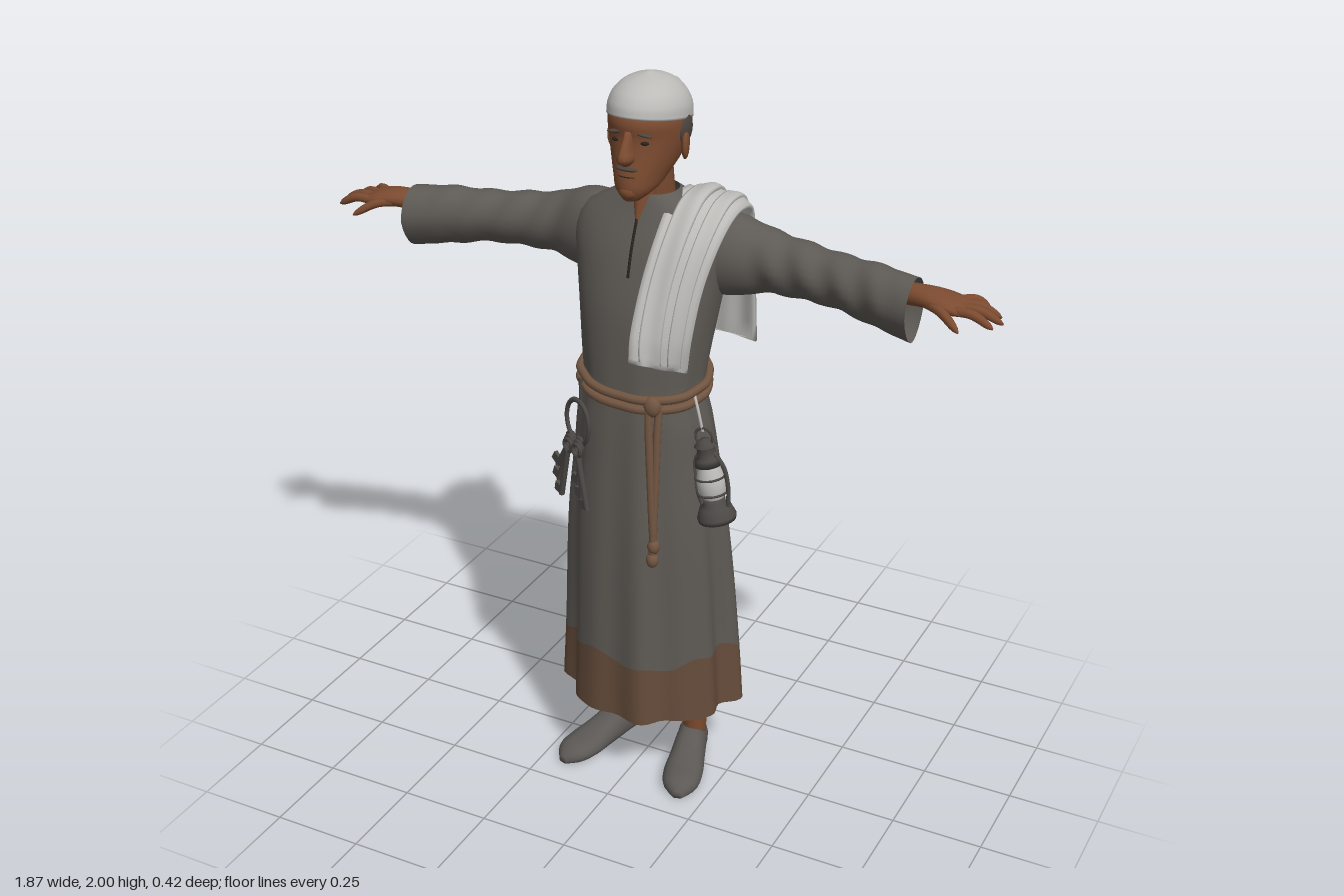
import * as THREE from 'three';

const V = (x, y, z) => new THREE.Vector3(x, y, z);
const mat = (name, color, side = THREE.FrontSide) => {
  const m = new THREE.MeshStandardMaterial({ color, side });
  m.name = name;
  return m;
};

// Smooth interpolation of a table whose first column is the key
function table(rows) {
  const f = new THREE.CubicInterpolant(rows.map(r => r[0]), rows.flatMap(r => r.slice(1)), rows[0].length - 1);
  return t => Array.from(f.evaluate(t));
}
const steps = (a, b, n) => Array.from({ length: n + 1 }, (_, i) => a + (b - a) * i / n);
const pw = (v, e) => Math.sign(v) * Math.abs(v) ** e;

// Skin over closed rings of points, optionally capped; rows below `split` use material 0
function loft(rings, cap = true, split = 0) {
  const n = rings[0].length, pts = rings.flat(), idx = [];
  rings.slice(1).forEach((_, i) => {
    for (let j = 0; j < n; j++) {
      const k = (j + 1) % n, a = i * n + j, c = i * n + k;
      idx.push(a, a + n, c + n, a, c + n, c);
    }
  });
  if (cap) {
    [0, rings.length - 1].forEach((r, e) => {
      const mid = rings[r].reduce((s, p) => s.add(p), V(0, 0, 0)).divideScalar(n);
      pts.push(mid);
      for (let j = 0; j < n; j++) {
        const a = r * n + j, b = r * n + (j + 1) % n;
        idx.push(pts.length - 1, e ? b : a, e ? a : b);
      }
    });
  }
  const g = new THREE.BufferGeometry().setFromPoints(pts);
  g.setIndex(idx);
  g.computeVertexNormals();
  if (split) {
    g.addGroup(0, split * n * 6, 0);
    g.addGroup(split * n * 6, idx.length - split * n * 6, 1);
  }
  return g;
}
const ring = (n, f) => Array.from({ length: n }, (_, j) => f(j / n * Math.PI * 2));

// Upright form from rows of [y, half width, front z, back z]
function upright(rows, n = 24, count = 16, tilt = 0) {
  const f = table(rows);
  return loft(steps(rows[0][0], rows.at(-1)[0], count).map(y => {
    const [rx, zf, zb] = f(y);
    return ring(n, a => {
      const z = (zf + zb) / 2 + (zf - zb) / 2 * Math.sin(a);
      return V(rx * Math.cos(a), y + tilt * z * (2 - y), z);
    });
  }));
}

// Round limb or rope along a path, with radius a function of t
function sweep(path, radius, n = 8, count = 12) {
  const c = new THREE.CatmullRomCurve3(path), fr = c.computeFrenetFrames(count);
  return loft(steps(0, 1, count).map((t, i) => ring(n, a => c.getPointAt(t)
    .addScaledVector(fr.binormals[i], radius(t) * Math.cos(a))
    .addScaledVector(fr.normals[i], radius(t) * Math.sin(a)))));
}

function mirrored(g) {
  const m = g.clone().scale(-1, 1, 1);
  m.index.array.reverse();
  return m;
}

// Robe outline: y, half width, front z, back z, fold depth, backward sweep of the sides
const robeShape = table([
  [0.22, 0.248, 0.19, -0.16, 0.055, 0.06], [0.4, 0.239, 0.186, -0.156, 0.048, 0.056], [0.8, 0.216, 0.176, -0.143, 0.032, 0.03],
  [1.0, 0.192, 0.163, -0.137, 0.02, 0.01], [1.1, 0.18, 0.155, -0.125, 0.014, 0], [1.19, 0.162, 0.146, -0.108, 0.01, 0],
  [1.27, 0.17, 0.143, -0.12, 0.006, 0], [1.4, 0.187, 0.133, -0.15, 0, 0], [1.5, 0.202, 0.112, -0.156, 0, 0],
  [1.58, 0.21, 0.088, -0.152, 0, 0], [1.64, 0.18, 0.062, -0.138, 0, 0], [1.67, 0.125, 0.05, -0.12, 0, 0], [1.7, 0.068, 0.04, -0.09, 0, 0],
]);
function robeAt(y, a, out = 0) {
  const [rx, zf, zb, fold, bend] = robeShape(y);
  const k = 1 + fold * (Math.cos(9 * a + 0.6) + 0.5 * Math.cos(14 * a));
  return V((rx * k + out) * pw(Math.cos(a), 0.92), y,
    (zf + zb) / 2 + ((zf - zb) / 2 * k + out) * pw(Math.sin(a), 0.92) - bend * Math.cos(a) ** 2);
}
const onFront = (x, y, out = 0.012) => {
  const a = Math.acos(pw(x / robeShape(y)[0], 1 / 0.92));
  return V(x, y, robeAt(y, a, out).z);
};

export function createModel() {
  const root = new THREE.Group();
  const robe = mat('robeGrey', 0x5e5a55, THREE.DoubleSide), hem = mat('dustyHem', 0x654c3b, THREE.DoubleSide);
  const skin = mat('skin', 0x7c4b30), cloth = mat('paleCloth', 0xbcbbb8, THREE.DoubleSide);
  const rope = mat('rope', 0x715541), shoe = mat('shoeGrey', 0x5b5855), metal = mat('metal', 0x4b4845);
  const hair = mat('greyHair', 0x4d443d), dark = mat('dark', 0x2a2320);
  const add = (name, g, m, p = root) => {
    const o = new THREE.Mesh(g, m);
    o.name = name;
    p.add(o);
    return o;
  };
  const ball = (name, m, p, r, s = [1, 1, 1], parent = root) => {
    const o = add(name, new THREE.SphereGeometry(r, 14, 10), m, parent);
    o.position.copy(p);
    o.scale.set(...s);
    return o;
  };
  const pair = (name, g, m) => {
    add('left ' + name, g, m);
    add('right ' + name, mirrored(g), m);
  };

  // Robe with an uneven dusty hem, lower at the back, and a closed underside
  const levels = [...steps(0.22, 0.4, 4), ...steps(0.44, 1.7, 42)];
  add('robe', loft(levels.map((y, i) => ring(96, a => {
    const edge = 0.014 * Math.sin(4 * a) + 0.008 * Math.sin(11 * a) - 0.06 * Math.max(0, -Math.sin(a));
    return robeAt(y + (i <= 4 ? edge * i / 4 : 0), a);
  })), false, 4), [hem, robe]);
  add('robeUnderside', loft([0.24, 0.25].map(y => ring(96, a => robeAt(y, a, -0.003)))), robe);
  add('neckOpening', sweep([V(0, 1.7, 0.012), onFront(0, 1.67, -0.014), onFront(0, 1.63, 0)], t => 0.036 * (1 - t) + 0.002), skin);
  add('collarSlit', sweep([1.64, 1.57, 1.5].map(y => onFront(0, y, 0)), () => 0.004, 6), dark);

  // Wrinkled sleeves: x, top, bottom, front z, back z
  const sleeve = table([
    [0.1, 1.655, 1.45, 0.04, -0.13], [0.2, 1.652, 1.43, 0.02, -0.15], [0.3, 1.615, 1.447, -0.01, -0.155],
    [0.4, 1.6, 1.452, -0.007, -0.142], [0.5, 1.592, 1.45, 0.005, -0.125], [0.6, 1.593, 1.435, 0.028, -0.105], [0.71, 1.587, 1.42, 0.056, -0.083],
  ]);
  pair('sleeve', loft(steps(0.1, 0.71, 50).map(x => {
    const [t, b, f, k] = sleeve(x);
    return ring(24, a => {
      const w = 0.08 * Math.sin(x * 62 + 2 * Math.sin(a)) * THREE.MathUtils.smoothstep(x, 0.2, 0.34) * (1 - THREE.MathUtils.smoothstep(x, 0.58, 0.7));
      const low = 1 - 0.35 * Math.max(0, -Math.sin(a)) * Math.min(1, x);
      return V(x, (t + b) / 2 + (t - b) / 2 * Math.sin(a) * (1 + w * 0.35), (f + k) / 2 + (f - k) / 2 * Math.cos(a) * (1 + w) * low);
    });
  }), false), robe);

  // Hands: wrist, palm and five spread fingers
  const hand = table([[0.6, 1.535, 0.03, -0.035, 0.03], [0.7, 1.547, 0.027, -0.012, 0.033],
    [0.76, 1.55, 0.024, -0.005, 0.045], [0.82, 1.542, 0.018, -0.006, 0.052], [0.85, 1.535, 0.01, -0.008, 0.044]]);
  pair('palm', loft(steps(0.6, 0.85, 14).map(x => {
    const [y, h, z, w] = hand(x);
    return ring(16, a => V(x, y + h * Math.sin(a), z + w * Math.cos(a)));
  })), skin);
  const tips = [[0.877, 1.517, -0.078], [0.915, 1.51, -0.052], [0.932, 1.512, -0.012], [0.92, 1.515, 0.032], [0.85, 1.508, 0.075]];
  tips.forEach(([x, y, z], i) => {
    const base = i < 4 ? V(0.815, 1.54, -0.045 + i * 0.024) : V(0.74, 1.545, 0.015);
    const mid = base.clone().lerp(V(x, y, z), 0.5).add(V(0, 0.013, 0));
    pair('finger ' + (i + 1), sweep([base, mid, V(x, y, z)], t => 0.0135 * Math.sqrt(Math.max(0.05, 1 - t ** 7)) * (1 - 0.2 * t)), skin);
  });

  // Neck and head
  add('neck', sweep([V(0, 1.62, -0.04), V(0, 1.7, -0.022), V(0, 1.81, -0.005)], () => 0.057, 18), skin);
  add('head', upright([[1.703, 0.022, 0.112, 0.06], [1.725, 0.048, 0.124, 0.0], [1.76, 0.066, 0.124, -0.07],
    [1.8, 0.083, 0.116, -0.112], [1.86, 0.098, 0.108, -0.13], [1.9, 0.098, 0.112, -0.127], [1.96, 0.07, 0.07, -0.085]], 28, 20), skin);
  add('nose', upright([[1.797, 0.01, 0.13, 0.08], [1.812, 0.021, 0.153, 0.08], [1.835, 0.015, 0.147, 0.08], [1.88, 0.01, 0.115, 0.08]], 12, 8), skin);
  ball('moustache', hair, V(0, 1.787, 0.115), 0.03, [1, 0.2, 0.35]);
  ball('mouth', dark, V(0, 1.768, 0.117), 0.023, [1, 0.1, 0.3]);
  ball('chin', skin, V(0, 1.728, 0.106), 0.024, [1.1, 0.9, 0.9]);
  for (const s of [1, -1]) {
    ball('sideHair', hair, V(s * 0.092, 1.868, -0.015), 0.045, [0.34, 0.9, 0.75]);
    ball('ear', skin, V(s * 0.098, 1.83, -0.008), 0.04, [0.26, 1, 0.6]).rotation.set(0, s * 0.3, 0);
    ball('eye', dark, V(s * 0.036, 1.852, 0.095), 0.012, [1.2, 0.5, 0.6]);
    ball('brow', hair, V(s * 0.038, 1.874, 0.1), 0.024, [1, 0.2, 0.35]).rotation.z = -s * 0.12;
  }
  add('cap', upright([[1.895, 0.102, 0.116, -0.136], [1.93, 0.099, 0.108, -0.13], [1.965, 0.079, 0.083, -0.102],
    [1.988, 0.046, 0.044, -0.06], [2.0, 0.004, 0, -0.012]], 32, 18, 1.5), cloth);
  ball('capBobble', cloth, V(0, 1.93, -0.138), 0.021);

  // Shawl over the left shoulder, stretched between an inner and an outer edge
  const edge = p => new THREE.CatmullRomCurve3(p.map(q => V(...q)));
  const inner = edge([[0.048, 1.315, 0.203], [0.045, 1.38, 0.19], [0.05, 1.5, 0.14], [0.06, 1.6, 0.085], [0.065, 1.675, 0.012],
    [0.068, 1.688, -0.06], [0.06, 1.665, -0.13], [0.045, 1.5, -0.18], [0.04, 1.26, -0.19]]);
  const outer = edge([[0.16, 1.27, 0.105], [0.175, 1.36, 0.11], [0.195, 1.5, 0.08], [0.215, 1.6, 0.03], [0.225, 1.65, -0.03],
    [0.228, 1.66, -0.08], [0.225, 1.64, -0.14], [0.22, 1.5, -0.17], [0.22, 1.25, -0.195]]);
  const shawl = (s0, s1, t0, t1, lift) => loft(steps(t0, t1, 40).map(t => {
    const p = inner.getPoint(t), q = outer.getPoint(t), across = q.clone().sub(p);
    const n = inner.getTangent(t).cross(across).normalize();
    if (n.dot(p.clone().sub(V(0.12, 1.45, -0.03))) < 0) n.negate();
    const at = (s, h) => p.clone().addScaledVector(across, s)
      .addScaledVector(n, h + 0.014 * Math.sin(Math.PI * s) + 0.004 * Math.sin(s * 14 + t * 4));
    const ss = steps(s0, s1, 14);
    return [...ss.map(s => at(s, lift)), ...ss.reverse().map(s => at(s, lift - 0.01))];
  }));
  add('shawl', shawl(0, 1, 0, 1, 0.006), cloth);
  add('shawlFold', shawl(0.14, 0.5, 0.02, 0.9, 0.013), cloth);
  add('shawlOuterFold', shawl(0.62, 0.86, 0.02, 0.82, 0.012), cloth);

  // Doubled rope belt with hanging ends
  [0.013, -0.013].forEach(d => {
    const loop = new THREE.CatmullRomCurve3(ring(40, a => robeAt(1.2 - 0.022 * Math.sin(a) - 0.008 * Math.cos(a) + d, a, 0.008)), true);
    add('belt', new THREE.TubeGeometry(loop, 100, 0.012, 8, true), rope);
  });
  ball('beltKnot', rope, onFront(0.085, 1.175, 0.016), 0.024, [1, 1.2, 0.8]);
  [[0.075, 0.1, 0.78], [0.1, 0.098, 0.74]].forEach(([x0, x1, end]) => {
    add('ropeEnd', sweep(steps(0, 1, 6).map(t => onFront(x0 + (x1 - x0) * t, 1.18 + (end - 1.18) * t, 0.014)), () => 0.011, 8, 24), rope);
    ball('ropeKnot', rope, onFront(x1, end, 0.014), 0.017, [1, 1.3, 1]);
  });

  // Ring of keys at the right hip
  const keys = new THREE.Group();
  keys.name = 'keys';
  keys.position.copy(onFront(-0.145, 1.07, 0.025));
  keys.rotation.y = -0.45;
  root.add(keys);
  add('keyRing', new THREE.TorusGeometry(0.05, 0.006, 8, 28).scale(1, 1.25, 1), metal, keys);
  add('keyLink', new THREE.CylinderGeometry(0.005, 0.005, 0.08, 8).translate(0.01, 0.09, -0.004), metal, keys);
  [-0.55, -0.38, -0.22, -0.06, 0.1, 0.26, 0.4].forEach((tilt, i) => {
    const key = new THREE.Group(), len = 0.11 + 0.02 * (i % 3);
    key.name = 'key';
    key.position.set((i - 3) * 0.01, -0.05, 0.014 * (i % 3) - 0.006);
    key.rotation.z = tilt;
    keys.add(key);
    add('keyBow', new THREE.TorusGeometry(0.017, 0.006, 6, 14).translate(0, -0.018, 0), metal, key);
    add('keyShaft', new THREE.CylinderGeometry(0.008, 0.008, len, 8).translate(0, -0.034 - len / 2, 0), metal, key);
    add('keyBit', new THREE.BoxGeometry(0.028, 0.026, 0.01).translate(-0.013, -0.02 - len, 0), metal, key);
  });

  // Lantern at the left hip
  const lantern = new THREE.Group();
  lantern.name = 'lantern';
  lantern.position.set(0.242, 0.855, 0.078);
  lantern.rotation.z = 0.18;
  root.add(lantern);
  const lathe = (name, pts, m) => add(name, new THREE.LatheGeometry(pts.map(p => new THREE.Vector2(...p)), 24), m, lantern);
  lathe('lanternBase', [[0, 0], [0.05, 0], [0.052, 0.012], [0.042, 0.038], [0.028, 0.048], [0.028, 0.065], [0, 0.065]], metal);
  lathe('lanternGlass', [[0.026, 0.06], [0.038, 0.085], [0.038, 0.12], [0.026, 0.16]], cloth);
  lathe('lanternTop', [[0, 0.157], [0.036, 0.157], [0.032, 0.175], [0.024, 0.183], [0.024, 0.207], [0.03, 0.211], [0.014, 0.228], [0, 0.231]], metal);
  for (const s of [1, -1]) add('lanternFrame', sweep([V(s * 0.035, 0.03, 0), V(s * 0.046, 0.09, 0), V(s * 0.043, 0.15, 0), V(s * 0.018, 0.195, 0)], () => 0.006), metal, lantern);
  [0.08, 0.125].forEach(y => add('lanternWire', new THREE.TorusGeometry(0.04, 0.003, 6, 24).rotateX(Math.PI / 2).translate(0, y, 0), metal, lantern));
  add('lanternHandle', new THREE.TorusGeometry(0.024, 0.004, 6, 20).translate(0, 0.235, 0), metal, lantern);
  add('lanternCord', sweep([V(0.16, 1.2, 0.06), V(0.18, 1.16, 0.075), V(0.196, 1.1, 0.078)], () => 0.004), cloth);

  // Lower legs and slip-on shoes
  pair('leg', sweep([V(0.12, 0.04, -0.055), V(0.12, 0.13, -0.058), V(0.12, 0.25, -0.05), V(0.118, 0.5, -0.03)], t => 0.031 + 0.02 * t, 14), skin);
  const foot = table([[-0.115, 0.018, 0.066], [-0.1, 0.034, 0.084], [-0.04, 0.044, 0.09], [0.03, 0.05, 0.07],
    [0.1, 0.055, 0.052], [0.16, 0.042, 0.042], [0.187, 0.014, 0.022]]);
  const shoeShape = loft(steps(-0.115, 0.187, 20).map(z => {
    const [w, h] = foot(z);
    return ring(20, a => V(w * pw(Math.sin(a), 0.75) * (1 - 0.25 * Math.max(0, Math.cos(a))), Math.max(0, h * (0.45 + 0.55 * pw(Math.cos(a), 0.75))), z));
  }));
  pair('shoe', shoeShape.rotateY(0.28).translate(0.13, 0, 0), shoe);
  return root;
}
